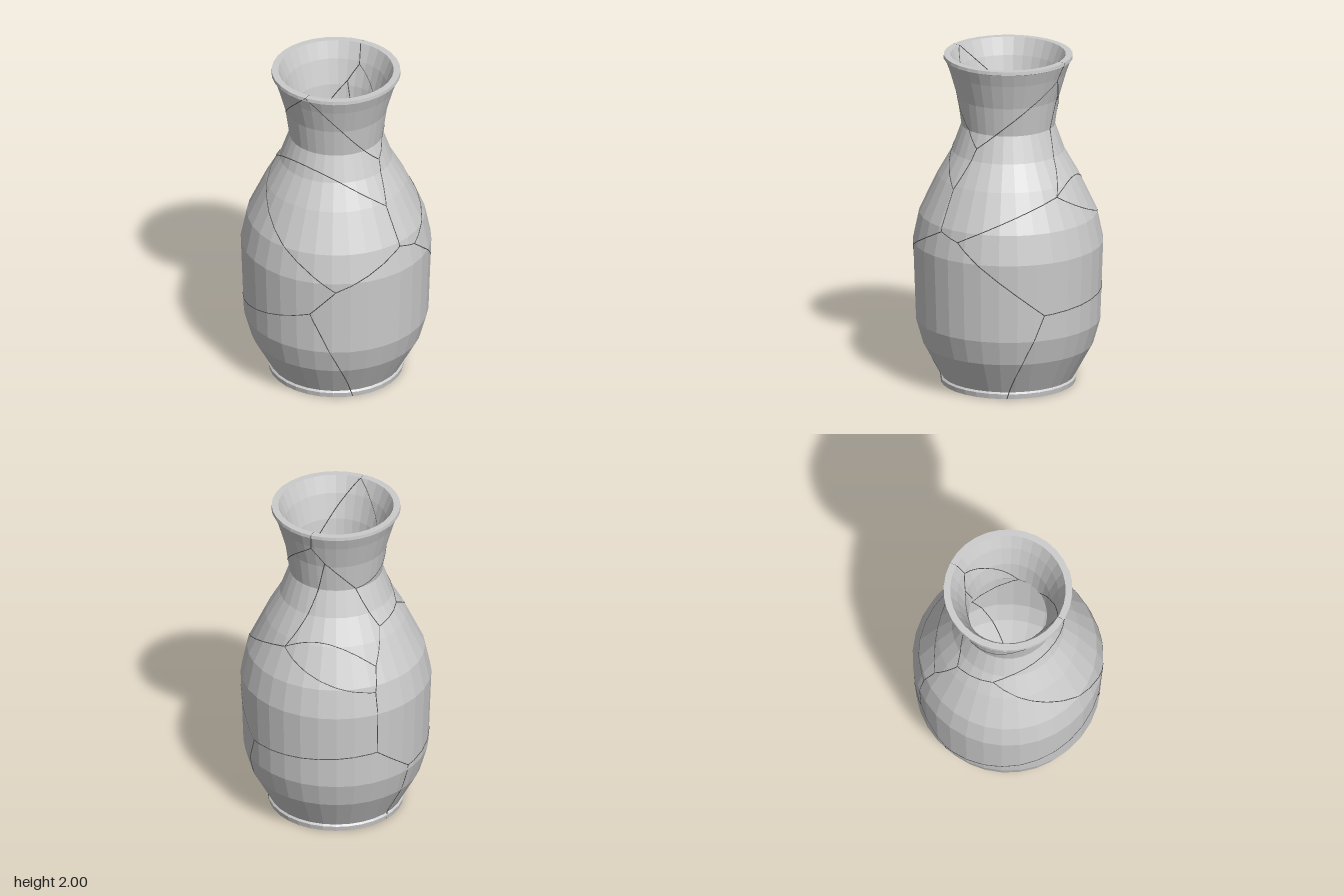
import * as THREE from 'three';

const SIDES = 32;
const STEP = (2 * Math.PI) / SIDES;
const FLOOR = 0.05;
const WALL = 0.045;

// Profiles as [radius, height], both from bottom to top; the inside follows the outside
const OUTER = [[0.395, 0], [0.4, 0.03], [0.39, 0.04], [0.5, 0.24], [0.543, 0.39], [0.56, 0.865], [0.523, 1.04],
  [0.415, 1.27], [0.33, 1.42], [0.275, 1.575], [0.3, 1.75], [0.343, 1.9], [0.37, 1.975], [0.38, 1.98], [0.378, 2]];
const INNER = [[0.345, FLOOR], ...OUTER.slice(3, 12).map(([r, y]) => [r - WALL, y]), [0.339, 2]];

// Where cracks meet: [angle from the front, height]
const JOINTS = {
  a: [0.295, 0], b: [-0.24, 0.645], c: [0.04, 0.805], d: [0.83, 1.015], e: [1.08, 0.975], f: [0.81, 1.25],
  g: [1.02, 1.49], h: [-0.45, 2], i: [2.69, 1.885], j: [2.74, 2], k: [2.92, 1.776], l: [2.38, 1.22],
  m: [-2.71, 1.576], n: [-2.4, 1.335], o: [-1.75, 1.37], p: [-2.63, 1.14], q: [-2.69, 1], r: [-2.69, 0.6],
  s: [-2.25, 0.42], t: [-2.29, 0], u: [2.07, 0.545], v: [1.65, 0],
};
// Cracks as pairs of joints, and how far some of them arch up or sag
const CRACKS = 'ab bc bs st sr ru uv ue rq cd de df el lq lp qp pn no co of fg gh gi ij ik kl km mn hm'.split(' ');
const ARCH = { bs: -0.03, el: 0.03, lq: -0.03, lp: 0.105, co: 0.045, of: 0.175, gh: -0.04, kl: -0.04, hm: -0.09 };

// Point of a profile at an angle and height, on the flat facet there
function onWall(profile, angle, y) {
  const next = Math.max(1, profile.findIndex((p) => p[1] >= y));
  const [r0, y0] = profile[next - 1], [r1, y1] = profile[next];
  const fromMiddle = angle - (Math.floor(angle / STEP) + 0.5) * STEP;
  const r = (THREE.MathUtils.mapLinear(y, y0, y1, r0, r1) * Math.cos(STEP / 2)) / Math.cos(fromMiddle);
  return new THREE.Vector3(r * Math.sin(angle), y, r * Math.cos(angle));
}

// Points along a crack, on one wall
function crackPoints(pair, wall) {
  const [a0, y0] = JOINTS[pair[0]], [a1, y1] = JOINTS[pair[1]];
  const turn = a1 - a0 - 2 * Math.PI * Math.round((a1 - a0) / (2 * Math.PI));
  const count = 8 + Math.ceil(Math.abs(turn) * 24);
  const lowest = wall === INNER ? FLOOR : 0.002;
  return Array.from({ length: count + 1 }, (_, i) => {
    const t = i / count;
    const y = y0 + (y1 - y0) * t + 4 * t * (1 - t) * (ARCH[pair] ?? 0);
    return onWall(wall, a0 + turn * t, THREE.MathUtils.clamp(y, lowest, 1.998));
  });
}

// Thin seam through a row of points
function seam(points, material, name) {
  const path = new THREE.CurvePath();
  for (let i = 1; i < points.length; i++) path.add(new THREE.LineCurve3(points[i - 1], points[i]));
  const mesh = new THREE.Mesh(new THREE.TubeGeometry(path, points.length - 1, 0.003, 4), material);
  mesh.name = name;
  return mesh;
}

export function createModel() {
  const group = new THREE.Group();
  group.name = 'crackedVase';
  const clay = new THREE.MeshStandardMaterial({ color: 0xcccccc, flatShading: true });
  const dark = new THREE.MeshStandardMaterial({ color: 0x555555 });

  // Hollow body: underside, outer wall, rim, inner wall and floor
  const profile = [[0, 0], ...OUTER, ...[...INNER].reverse(), [0, FLOOR]];
  const lathe = new THREE.LatheGeometry(profile.map(([r, y]) => new THREE.Vector2(r, y)), SIDES).toNonIndexed();
  lathe.computeVertexNormals();
  const body = new THREE.Mesh(lathe, clay);
  body.name = 'vaseBody';
  group.add(body);

  // Cracks through the wall, seen outside and inside
  const cracks = new THREE.Group();
  cracks.name = 'cracks';
  for (const pair of CRACKS) {
    cracks.add(seam(crackPoints(pair, OUTER), dark, 'outerCrack'));
    cracks.add(seam(crackPoints(pair, INNER), dark, 'innerCrack'));
  }

  // Cracks across the rim
  for (const joint of ['h', 'j']) {
    const angle = JOINTS[joint][0];
    cracks.add(seam([onWall(INNER, angle, 1.998), onWall(OUTER, angle, 1.998)], dark, 'rimCrack'));
  }

  // Cracks meeting on the floor and the underside
  for (const joint of ['a', 't', 'v']) {
    const angle = JOINTS[joint][0];
    for (const [wall, y, name] of [[INNER, FLOOR, 'floorCrack'], [OUTER, 0.002, 'undersideCrack']]) {
      cracks.add(seam([new THREE.Vector3(0.065, y, 0.015), onWall(wall, angle, y)], dark, name));
    }
  }
  group.add(cracks);
  return group;
}
